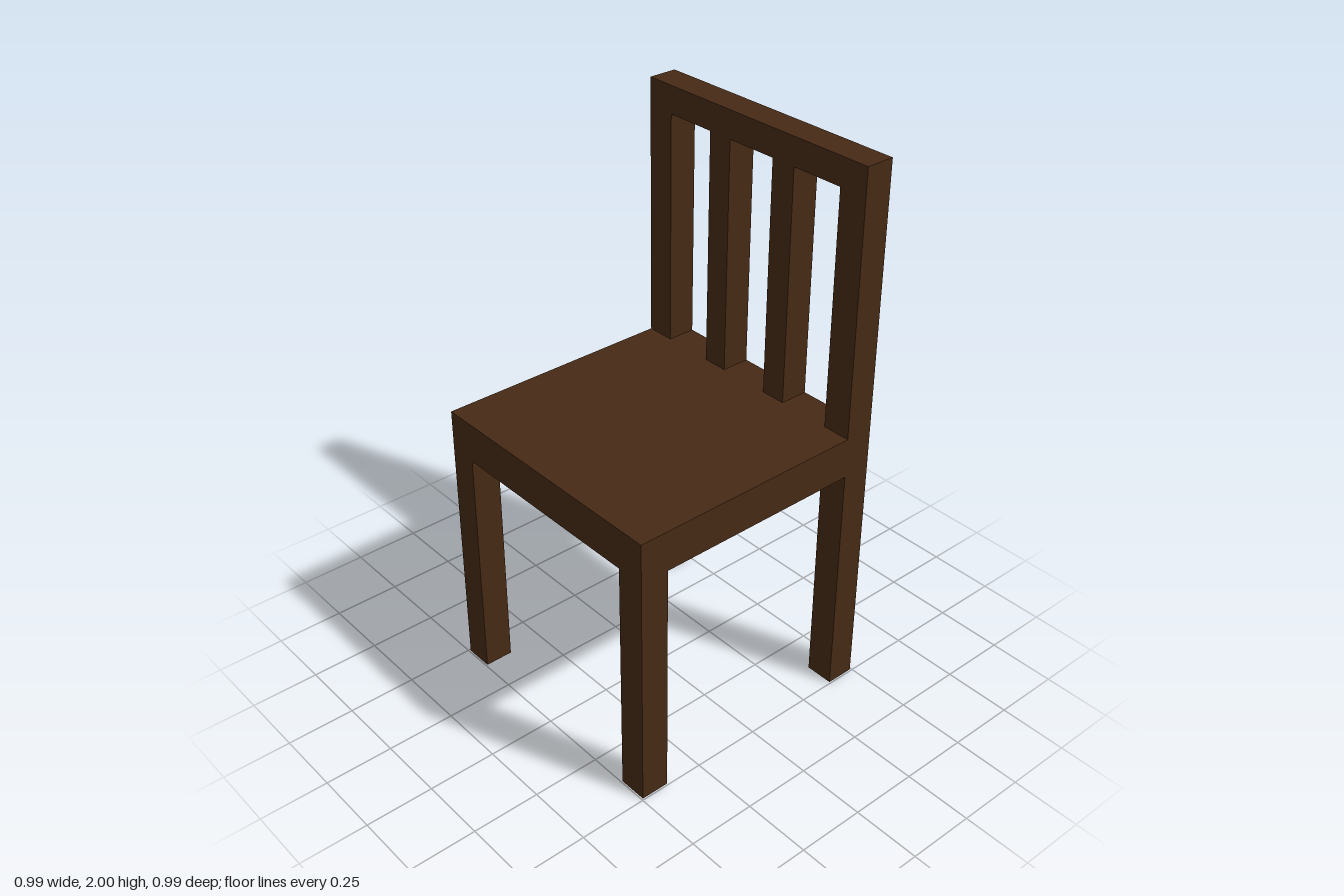
import * as THREE from 'three';

const HALF = 0.494;        // half of the square footprint
const POST = 0.106;        // leg and post thickness
const SEAT_BOTTOM = 0.895;
const SEAT_TOP = 1.043;
const RAIL_BOTTOM = 1.9;
const TOP = 2;

export function createModel() {
  const chair = new THREE.Group();
  chair.name = 'chair';
  const wood = new THREE.MeshStandardMaterial({ color: 0x472a15 });

  // Box standing between two heights, centred on x and z
  function addBox(name, width, depth, bottom, top, x, z) {
    const mesh = new THREE.Mesh(new THREE.BoxGeometry(width, top - bottom, depth), wood);
    mesh.name = name;
    mesh.position.set(x, (bottom + top) / 2, z);
    chair.add(mesh);
  }

  const corner = HALF - POST / 2;
  const backZ = -corner;

  addBox('seat', HALF * 2, HALF * 2, SEAT_BOTTOM, SEAT_TOP, 0, 0);

  // Legs and back posts, mirrored left and right
  for (const [side, s] of [['left', 1], ['right', -1]]) {
    addBox(side + 'FrontLeg', POST, POST, 0, SEAT_BOTTOM, s * corner, corner);
    addBox(side + 'BackLeg', POST, POST, 0, SEAT_BOTTOM, s * corner, backZ);
    addBox(side + 'BackPost', POST, POST, SEAT_TOP, RAIL_BOTTOM, s * corner, backZ);
  }

  // Backrest slats and top rail
  addBox('leftSlat', 0.095, POST, SEAT_TOP, RAIL_BOTTOM, 0.143, backZ);
  addBox('rightSlat', 0.095, POST, SEAT_TOP, RAIL_BOTTOM, -0.148, backZ);
  addBox('topRail', HALF * 2, POST, RAIL_BOTTOM, TOP, 0, backZ);

  return chair;
}
